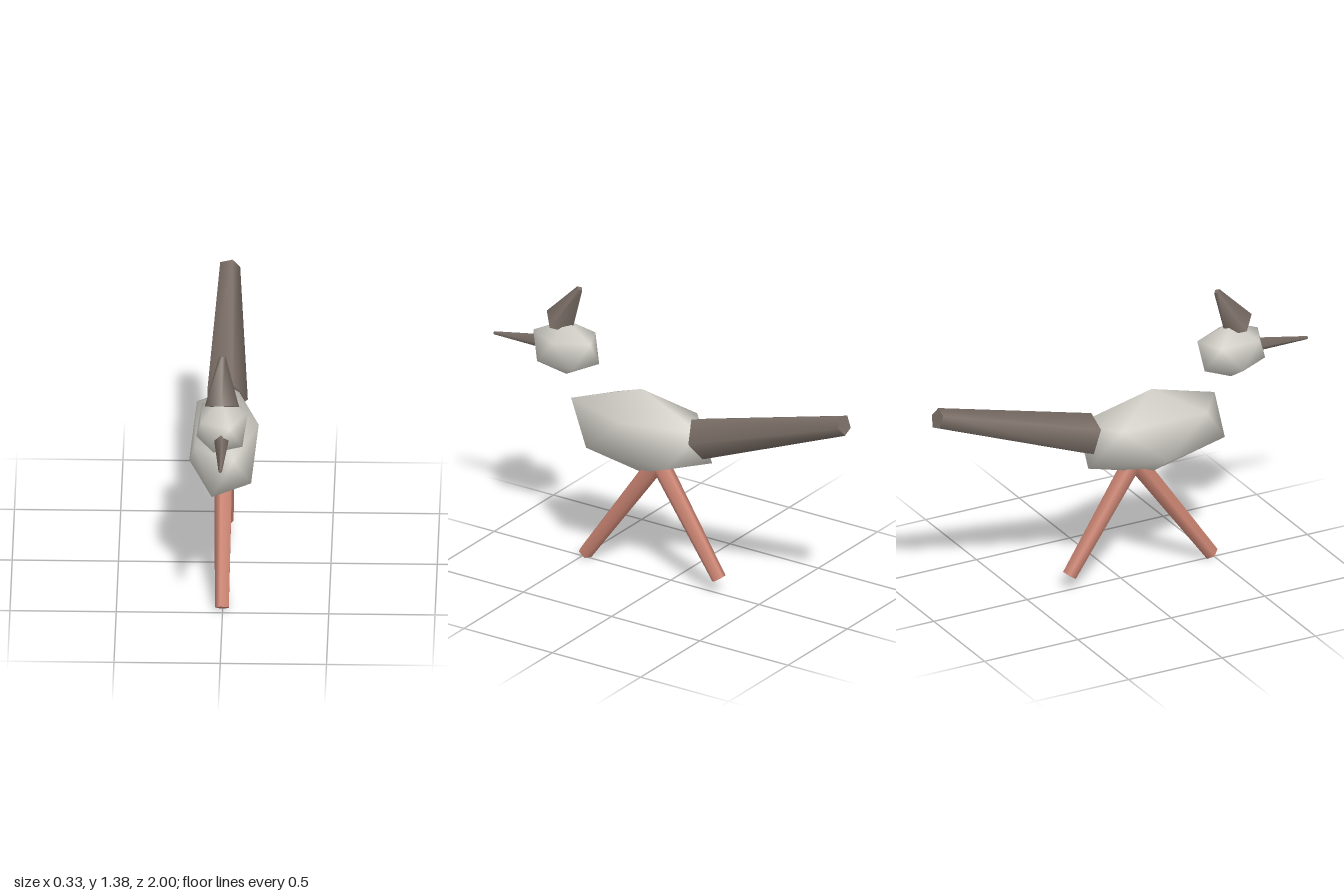
import * as THREE from 'three';

const mat = (name, color) => {
  const m = new THREE.MeshStandardMaterial({ color });
  m.name = name;
  return m;
};

// Twenty-sided ellipsoid with a vertex at each pole and shared, smooth normals
function pebble(rx, ry, rz) {
  const points = [0, ry, 0];
  for (const side of [1, -1]) {
    for (let i = 0; i < 5; i++) {
      const a = ((i + (side < 0 ? 0.5 : 0)) * Math.PI * 2) / 5;
      points.push(0.894 * rx * Math.cos(a), 0.447 * ry * side, 0.894 * rz * Math.sin(a));
    }
  }
  points.push(0, -ry, 0);
  const faces = [];
  for (let i = 0; i < 5; i++) {
    const j = (i + 1) % 5;
    const u0 = 1 + i, u1 = 1 + j, l0 = 6 + i, l1 = 6 + j;
    faces.push(0, u1, u0, u0, u1, l0, l0, u1, l1, 11, l0, l1);
  }
  const g = new THREE.BufferGeometry();
  g.setAttribute('position', new THREE.Float32BufferAttribute(points, 3));
  g.setIndex(faces);
  g.computeVertexNormals();
  return g;
}

// Tapered prism in the x = 0 plane between two [y, z] points
function taper(from, to, rFrom, rTo, sides, turn = Math.PI / 2) {
  const a = new THREE.Vector3(0, ...from);
  const b = new THREE.Vector3(0, ...to);
  const dir = b.clone().sub(a);
  const g = new THREE.CylinderGeometry(rTo, rFrom, dir.length(), sides, 1, false, turn);
  g.applyQuaternion(new THREE.Quaternion().setFromUnitVectors(new THREE.Vector3(0, 1, 0), dir.normalize()));
  const mid = a.add(b).multiplyScalar(0.5);
  return g.translate(0, mid.y, mid.z);
}

export function createModel() {
  const model = new THREE.Group();
  model.name = 'bird';
  const pale = mat('pale plumage', 0xd2d0c8);
  const brown = mat('grey brown', 0x7b6f67);
  const pink = mat('leg pink', 0xd08876);

  const add = (name, geometry, material) => {
    const mesh = new THREE.Mesh(geometry, material);
    mesh.name = name;
    model.add(mesh);
  };

  // Body and floating head
  add('body', pebble(0.183, 0.215, 0.43).translate(0, 0.735, 0.165), pale);
  add('head', pebble(0.135, 0.14, 0.19).translate(0, 1.06, 0.592), pale);

  // Beak, crest and tail
  add('beak', taper([1.055, 0.73], [1.029, 1.0], 0.035, 0.008, 4), brown);
  add('crest', taper([1.178, 0.632], [1.38, 0.515], 0.081, 0.016, 4), brown);
  add('tail', taper([0.785, -0.17], [1.053, -0.982], 0.105, 0.052, 5), brown);

  // Legs splayed forwards and backwards, thicker towards the body
  add('frontLeg', taper([0.024, 0.485], [0.62, 0.06], 0.036, 0.048, 5, -Math.PI / 2), pink);
  add('rearLeg', taper([0.08, -0.273], [0.62, 0.08], 0.036, 0.048, 5), pink);

  return model;
}
